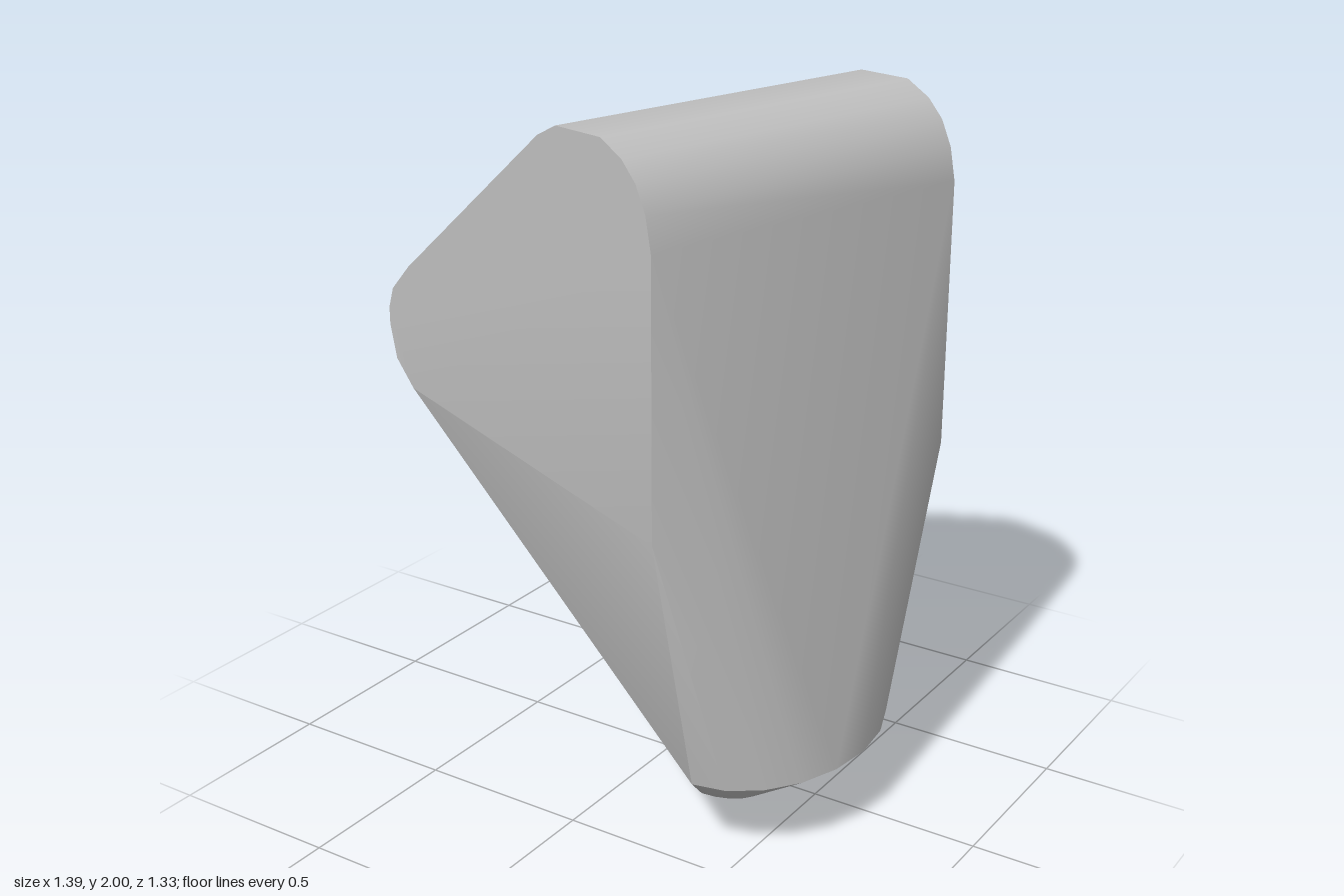
import * as THREE from 'three';
import { ConvexGeometry } from 'three/addons/geometries/ConvexGeometry.js';
import { toCreasedNormals } from 'three/addons/utils/BufferGeometryUtils.js';

export function createModel() {
  const model = new THREE.Group();
  const grey = new THREE.MeshStandardMaterial({ color: 0xc0c0c0 });
  grey.name = 'grey';

  // Upper block: a rounded side profile (u, y), swept across its width
  // and turned 15 degrees about the vertical axis
  const profile = [
    [0.539, 1.0], [0.539, 1.75], [0.52, 1.84], [0.485, 1.91], [0.435, 1.96],
    [0.357, 2.0], [0.186, 2.0], [0.114, 1.965], [-0.476, 1.5], [-0.558, 1.42],
    [-0.58, 1.36], [-0.58, 1.31], [-0.554, 1.215], [-0.48, 1.145],
  ];
  const turn = -THREE.MathUtils.degToRad(15);
  const up = new THREE.Vector3(0, 1, 0);
  const points = [];
  for (const v of [-0.54, 0.54]) {
    for (const [u, y] of profile) points.push(new THREE.Vector3(u, y, v).applyAxisAngle(up, turn));
  }

  // Half-elliptical arcs: the lower rim and the small foot
  const addArc = (x, y, depth, halfWidth, steps) => {
    for (let i = 0; i <= steps; i++) {
      const a = -Math.PI / 2 + (Math.PI * i) / steps;
      points.push(new THREE.Vector3(x + depth * Math.cos(a), y, 0.08 + halfWidth * Math.sin(a)));
    }
  };
  addArc(0.392, 0.24, 0.3, 0.41, 10);
  addArc(0.225, 0, 0.14, 0.097, 10);
  for (const z of [0.05, 0.11]) points.push(new THREE.Vector3(0.167, 0, z));

  // One convex skin over all sections, with sharp rims and soft curves
  const body = new THREE.Mesh(toCreasedNormals(new ConvexGeometry(points), 0.65), grey);
  body.name = 'taperedBody';
  model.add(body);
  return model;
}
